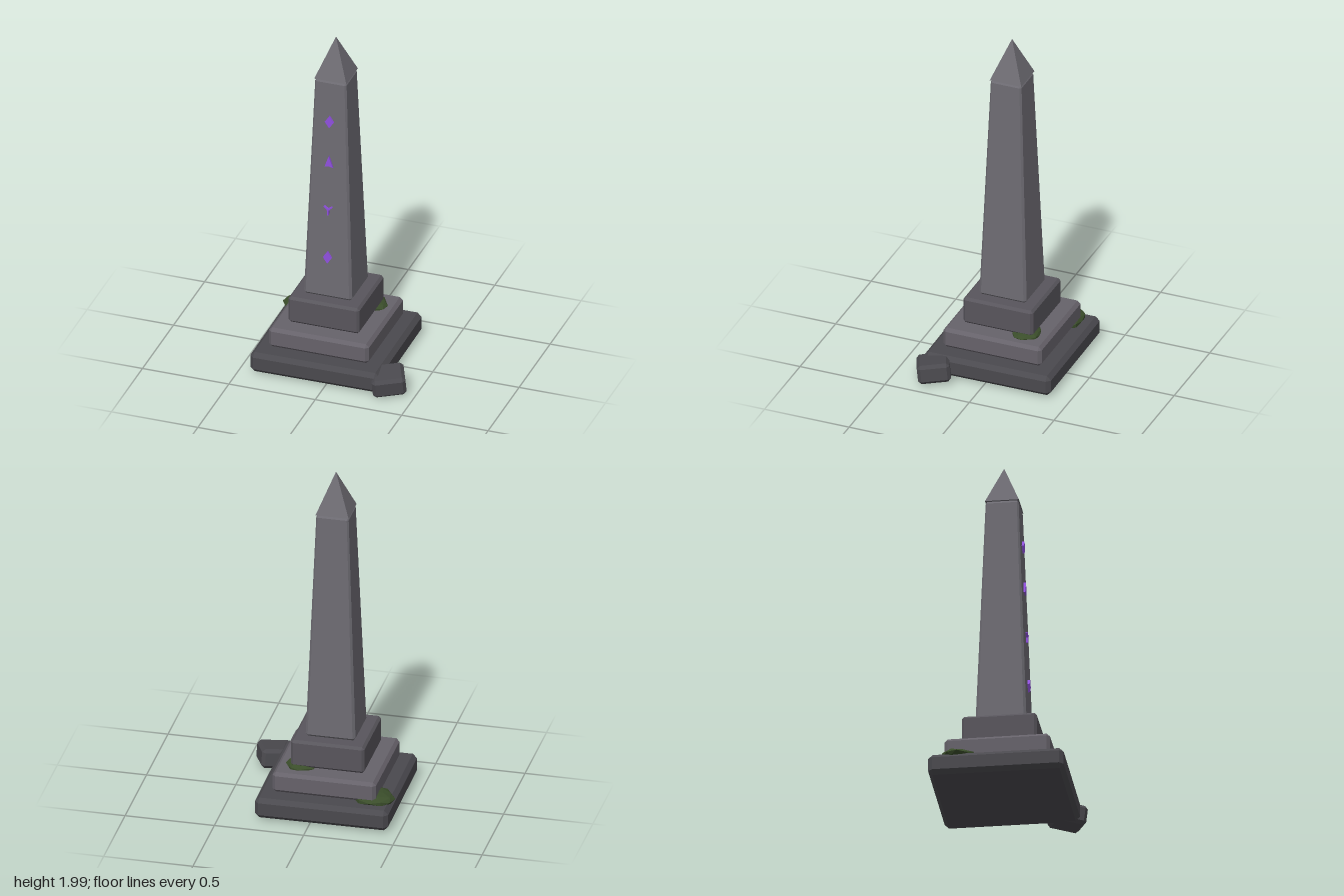
import * as THREE from 'three';
import { ConvexGeometry } from 'three/addons/geometries/ConvexGeometry.js';

const CX = -0.065, CZ = -0.015; // monument axis

const mat = (color) => new THREE.MeshStandardMaterial({ color, flatShading: true });

// Box with every edge chamfered; its top can be narrower than its bottom
function chamferBox(w, h, d, c, topScale = 1) {
  const pts = [];
  for (const sx of [-1, 1]) for (const sy of [-1, 1]) for (const sz of [-1, 1]) {
    for (let axis = 0; axis < 3; axis++) {
      const p = [w, h, d].map((s, i) => s / 2 - (i === axis ? 0 : c));
      const y = p[1] * sy;
      const k = THREE.MathUtils.lerp(1, topScale, y / h + 0.5);
      pts.push(new THREE.Vector3(p[0] * sx * k, y, p[2] * sz * k));
    }
  }
  return new ConvexGeometry(pts);
}

// Flattened, uneven low-poly clump
function mossGeometry(rx, ry, rz, phase) {
  const g = new THREE.IcosahedronGeometry(1, 1);
  const p = g.attributes.position;
  for (let i = 0; i < p.count; i++) {
    const x = p.getX(i), y = p.getY(i), z = p.getZ(i);
    const k = 1 + 0.08 * Math.sin(5 * x + 3 * z + phase);
    p.setXYZ(i, x * rx * k, y * ry * k, z * rz * k);
  }
  g.computeVertexNormals();
  return g;
}

export function createModel() {
  const group = new THREE.Group();
  const add = (name, geometry, material, x, y, z) => {
    const m = new THREE.Mesh(geometry, material);
    m.name = name;
    m.position.set(x, y, z);
    group.add(m);
    return m;
  };

  const darkStone = mat(0x4a494e), stepStone = mat(0x66626a);
  const plinthStone = mat(0x58555c), shaftStone = mat(0x6d6b72);
  const mossMat = mat(0x3a4d2a), glyphMat = mat(0x9050e0);

  // Stepped base
  add('baseSlab', chamferBox(0.745, 0.12, 0.745, 0.024), darkStone, CX, 0.079, CZ).rotation.y = 0.008;
  add('middleStep', chamferBox(0.58, 0.118, 0.58, 0.018), stepStone, CX, 0.206, CZ);
  add('upperStep', chamferBox(0.412, 0.158, 0.412, 0.014), plinthStone, CX, 0.353, CZ);

  // Tapering shaft and pyramid cap
  add('shaft', chamferBox(0.28, 1.335, 0.28, 0.014, 0.645), shaftStone, CX, 1.1, CZ);
  const cap = new THREE.ConeGeometry(0.093 * Math.SQRT2, 0.232, 4);
  cap.rotateY(Math.PI / 4);
  add('cap', cap, shaftStone, CX, 1.884, CZ);

  // Raised glyphs on the front face
  const diamond = [[0, -0.037], [0.025, 0], [0, 0.037], [-0.025, 0]];
  const arrow = [[-0.024, -0.028], [0, -0.022], [0.024, -0.028], [0, 0.04]];
  const fork = [[-0.004, -0.034], [0.004, -0.034], [0.005, -0.004], [0.025, 0.017],
    [0.02, 0.021], [0, 0.006], [-0.02, 0.021], [-0.025, 0.017], [-0.005, -0.004]];
  const glyphs = [
    ['lowerDiamond', diamond, 0.685, 0.128], ['forkGlyph', fork, 0.98, 0.117],
    ['arrowGlyph', arrow, 1.27, 0.105], ['upperDiamond', diamond, 1.52, 0.097],
  ];
  for (const [name, pts, y, front] of glyphs) {
    const shape = new THREE.Shape(pts.map(([a, b]) => new THREE.Vector2(a, b)));
    const g = new THREE.ExtrudeGeometry(shape, { depth: 0.02, bevelEnabled: false });
    add(name, g, glyphMat, CX, y, front - 0.02);
  }

  // Fallen block leaning on the front corner
  const block = add('fallenBlock', chamferBox(0.185, 0.11, 0.18, 0.018), darkStone, 0.342, 0.077, 0.277);
  block.rotation.set(0.1, 0.42, 0.1, 'YXZ');

  // Moss on the ledges
  add('mossBackRight', mossGeometry(0.115, 0.036, 0.1, 0.6), mossMat, -0.325, 0.148, -0.225);
  add('mossBackLeft', mossGeometry(0.085, 0.026, 0.08, 2), mossMat, 0.09, 0.268, -0.17);

  return group;
}
